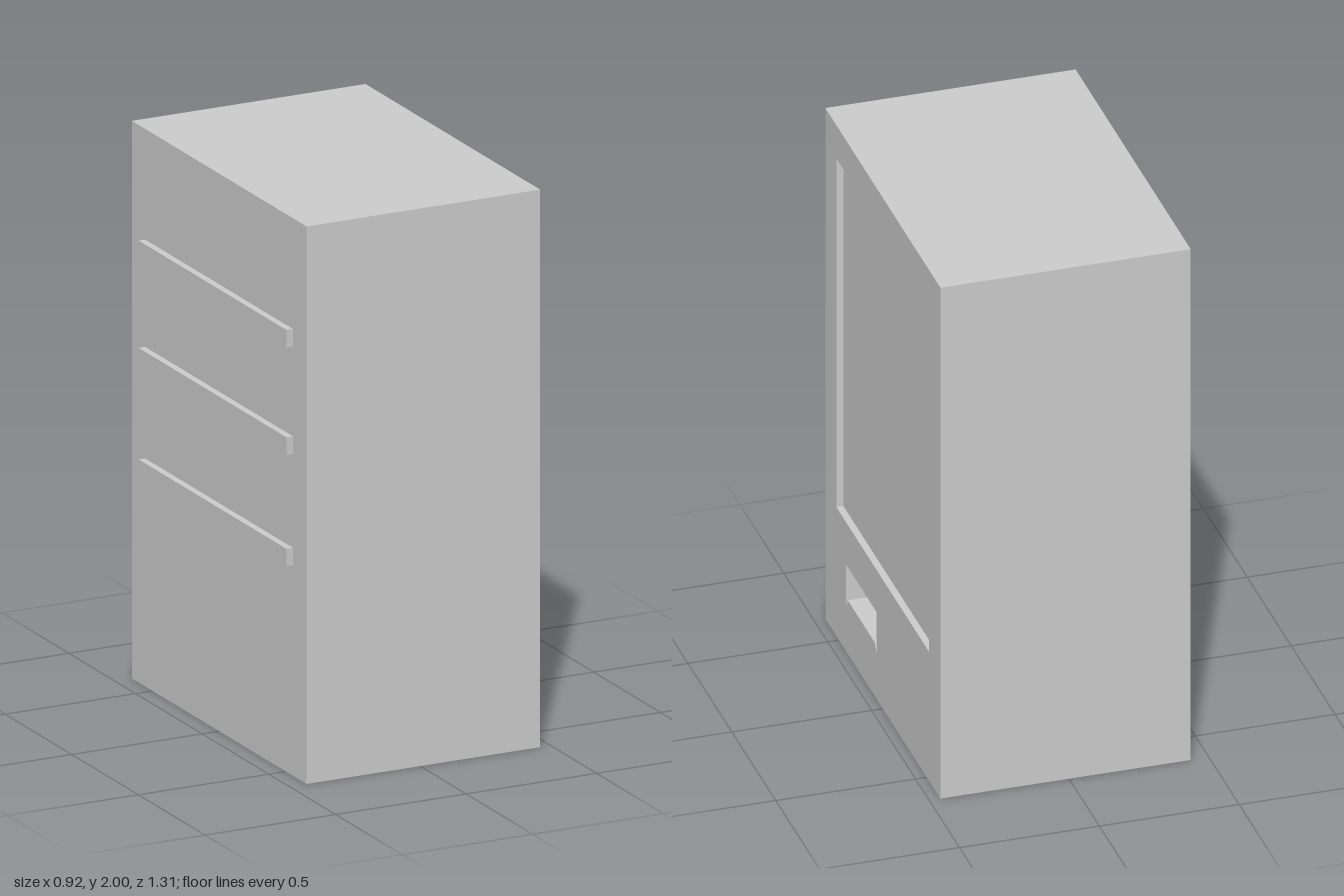
import * as THREE from 'three';

const grey = new THREE.MeshStandardMaterial({ color: 0xcccccc });
const pale = new THREE.MeshStandardMaterial({ color: 0xf0f0f0 });

const BACK = -0.435, FRONT = 0.46, PANEL = 0.12, HALF = 0.655, HEIGHT = 2;

// Box given by its lower and upper limits on each axis
function boxPart(name, [x0, x1], [y0, y1], [z0, z1], material = grey) {
  const mesh = new THREE.Mesh(new THREE.BoxGeometry(x1 - x0, y1 - y0, z1 - z0), material);
  mesh.position.set((x0 + x1) / 2, (y0 + y1) / 2, (z0 + z1) / 2);
  mesh.name = name;
  return mesh;
}

// Outline from [z, y] points, for extruding along +x after a quarter turn
const outline = (points, Type) => new Type(points.map(([z, y]) => new THREE.Vector2(-z, y)));

export function createModel() {
  const group = new THREE.Group();
  group.name = 'vendingMachine';
  const inner = FRONT - PANEL;

  // Cabinet
  group.add(boxPart('cabinet', [BACK, inner], [0, HEIGHT], [-HALF, HALF]));

  // Door panel with window and dispensing slot cut out
  const panel = outline([[HALF, 0], [-HALF, 0], [-HALF, HEIGHT], [HALF, HEIGHT]], THREE.Shape);
  panel.holes.push(
    outline([[0.53, 0.505], [0.53, 1.87], [-0.525, 1.87], [-0.525, 0.505]], THREE.Path),
    outline([[0.42, 0.175], [0.42, 0.34], [0.07, 0.34], [0.07, 0.175], [0.09, 0.21], [0.4, 0.21]], THREE.Path)
  );
  const door = new THREE.Mesh(
    new THREE.ExtrudeGeometry(panel, { depth: PANEL, bevelEnabled: false }), grey);
  door.rotation.y = Math.PI / 2;
  door.position.x = inner;
  door.name = 'doorPanel';
  group.add(door);

  // Recessed display window
  group.add(boxPart('window', [inner, FRONT - 0.025], [0.505, 1.87], [-0.525, 0.53], pale));

  // Sloping chute at the back of the slot
  const chuteShape = new THREE.Shape([
    new THREE.Vector2(inner, 0.175), new THREE.Vector2(0.4, 0.175),
    new THREE.Vector2(0.36, 0.335), new THREE.Vector2(inner, 0.335)
  ]);
  const chute = new THREE.Mesh(
    new THREE.ExtrudeGeometry(chuteShape, { depth: 0.35, bevelEnabled: false }), grey);
  chute.position.z = 0.07;
  chute.name = 'dispensingChute';
  group.add(chute);

  // Shelf ends showing through the rear
  for (const y of [0.755, 1.155, 1.54]) {
    group.add(boxPart('rearRail', [-0.46, BACK], [y, y + 0.063], [-0.555, 0.553]));
  }
  return group;
}
